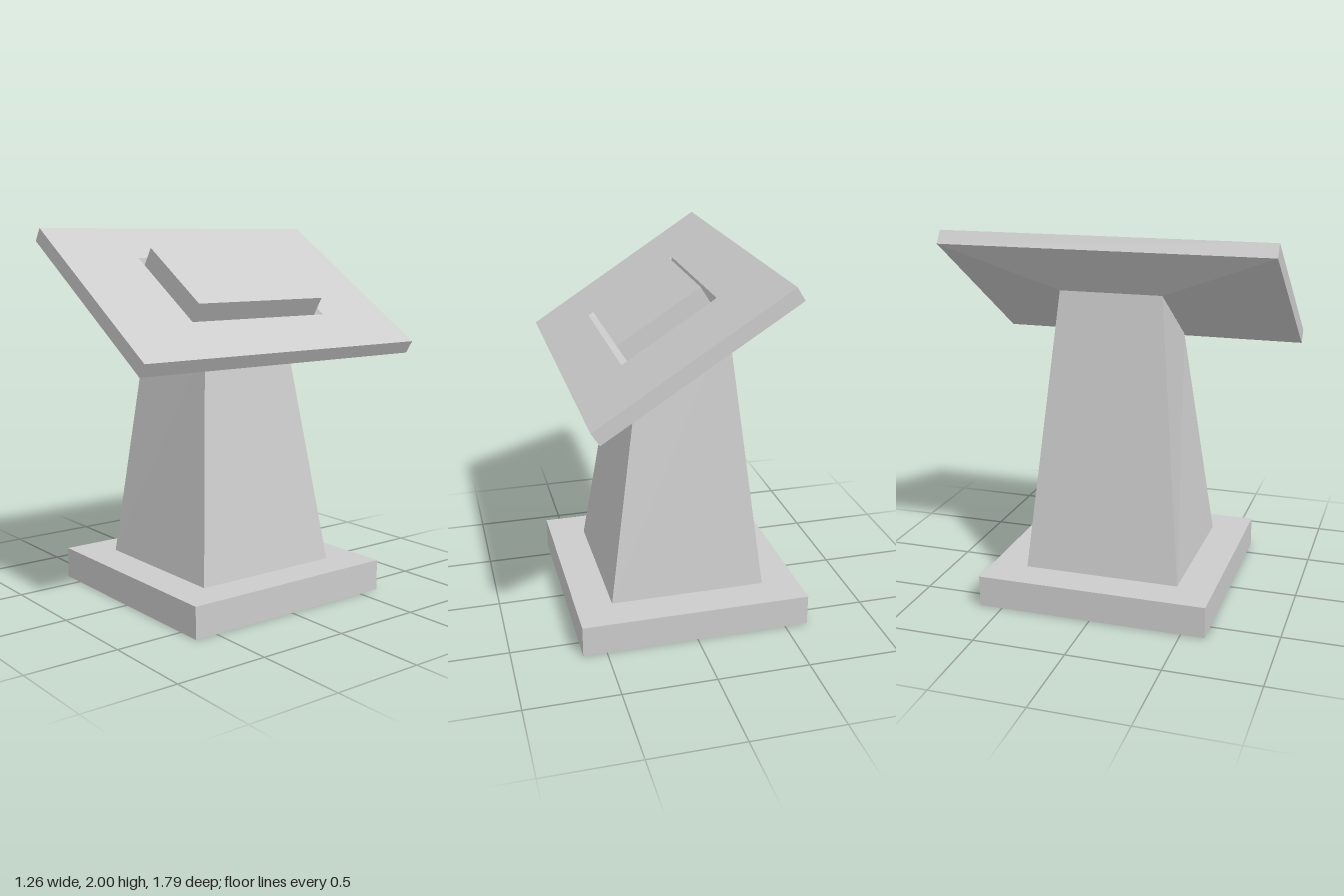
import * as THREE from 'three';

const material = new THREE.MeshStandardMaterial({ color: 0xcccccc, flatShading: true });

// Rectangular section: x from x0 to x1 (heights y0 and y1), z from -hz to hz
const ring = (x0, x1, hz, y0, y1 = y0) => [
  [x0, y0, hz], [x1, y1, hz], [x1, y1, -hz], [x0, y0, -hz],
];

// Skins a series of sections with flat quads; optionally closes the last one
function loft(name, rings, capTop = false) {
  const pos = [];
  const quad = (a, b, c, d) => pos.push(...a, ...b, ...c, ...a, ...c, ...d);
  for (let r = 0; r < rings.length - 1; r++) {
    for (let i = 0; i < 4; i++) {
      const j = (i + 1) % 4;
      quad(rings[r][i], rings[r][j], rings[r + 1][j], rings[r + 1][i]);
    }
  }
  if (capTop) quad(...rings[rings.length - 1]);
  const geo = new THREE.BufferGeometry();
  geo.setAttribute('position', new THREE.Float32BufferAttribute(pos, 3));
  geo.computeVertexNormals();
  const mesh = new THREE.Mesh(geo, material);
  mesh.name = name;
  return mesh;
}

export function createModel() {
  const model = new THREE.Group();
  model.name = 'lectern';

  // Square plinth
  const base = new THREE.Mesh(new THREE.BoxGeometry(1.256, 0.17, 1.256), material);
  base.name = 'base';
  base.position.y = 0.085;
  model.add(base);

  // Tapered column with a slanted top
  model.add(loft('column', [
    ring(-0.428, 0.428, 0.428, 0.17),
    ring(-0.24, 0.24, 0.28, 1.69, 1.39),
  ]));

  // Tilted head; its origin is the centre of the desk's upper face
  const head = new THREE.Group();
  head.name = 'head';
  head.position.set(0.113, 1.69, 0);
  head.rotation.z = -Math.atan2(0.62, 0.975);
  model.add(head);

  // Flared underside, slab edge, upper face and the groove sloping in to the panel
  head.add(loft('desk', [
    ring(-0.297, 0.269, 0.28, -0.19, -0.184),
    ring(-0.578, 0.578, 0.893, -0.08),
    ring(-0.578, 0.578, 0.893, 0),
    ring(-0.288, 0.288, 0.442, 0),
    ring(-0.253, 0.253, 0.414, -0.04),
  ]));

  // Raised panel standing in the groove
  head.add(loft('panel', [
    ring(-0.253, 0.253, 0.414, -0.04),
    ring(-0.253, 0.253, 0.414, 0.086),
  ], true));

  return model;
}
